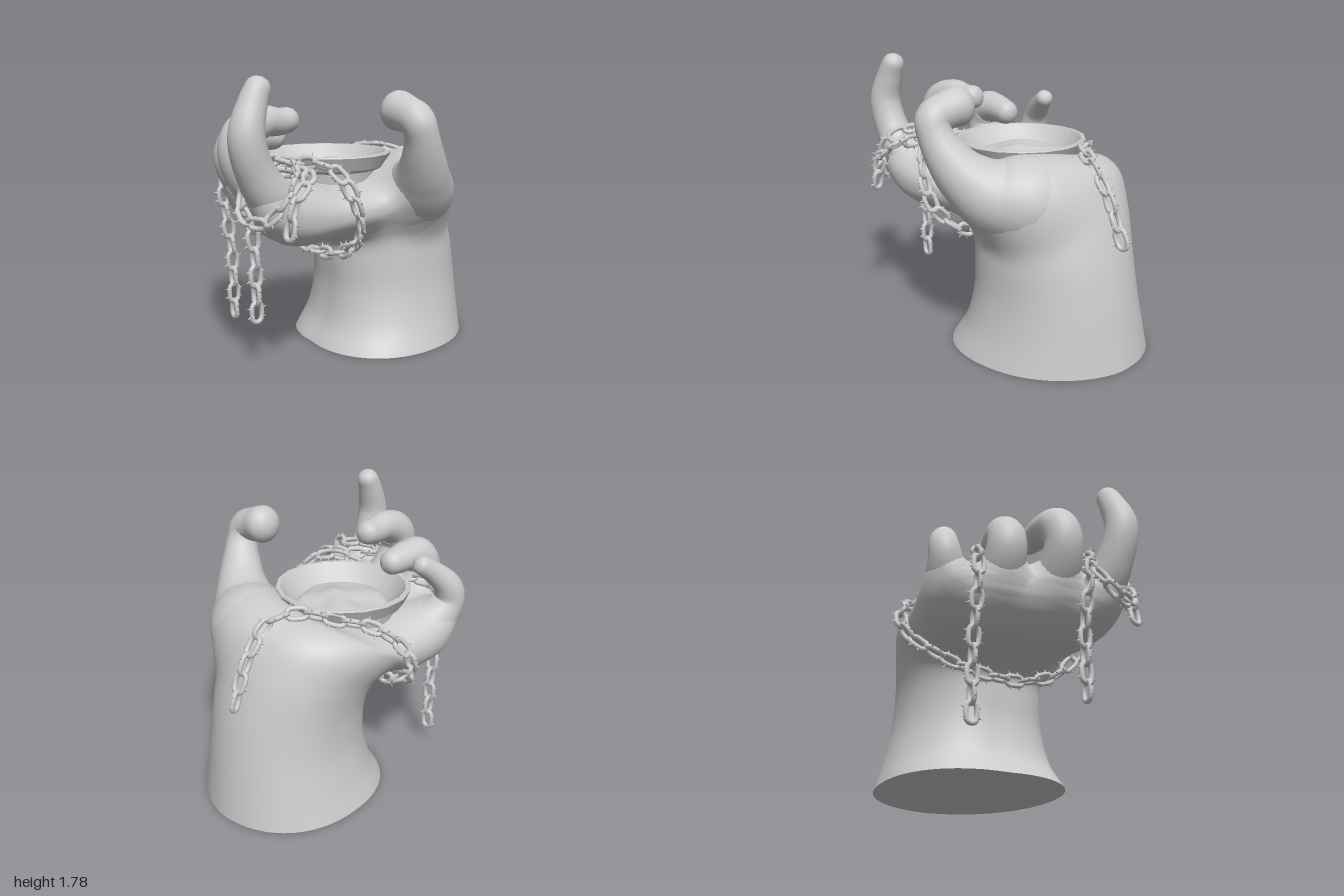
import * as THREE from 'three';
import { mergeVertices, mergeGeometries, toCreasedNormals } from 'three/addons/utils/BufferGeometryUtils.js';

const material = new THREE.MeshStandardMaterial({ color: 0xcccccc, side: THREE.DoubleSide });
const spline = (pts) => new THREE.CatmullRomCurve3(pts.map((p) => new THREE.Vector3(...p)), false, 'catmullrom', 0.5);

// Fingers and thumb as centre line points [x, y, z, radius], root to tip
const DIGITS = {
  indexFinger: [[0.24, 0.96, 0.46, 0.15], [0.32, 1.07, 0.69, 0.138], [0.35, 1.25, 0.83, 0.115],
    [0.365, 1.45, 0.89, 0.105], [0.35, 1.63, 0.84, 0.085], [0.34, 1.775, 0.77, 0.065]],
  middleFinger: [[0.02, 0.96, 0.43, 0.15], [0.03, 1.09, 0.63, 0.14], [0.02, 1.28, 0.755, 0.12],
    [0.01, 1.43, 0.72, 0.12], [0, 1.495, 0.58, 0.1], [-0.01, 1.49, 0.45, 0.085], [-0.02, 1.51, 0.315, 0.075]],
  ringFinger: [[-0.26, 0.96, 0.34, 0.15], [-0.29, 1.08, 0.52, 0.14], [-0.3, 1.24, 0.62, 0.125],
    [-0.29, 1.36, 0.58, 0.118], [-0.28, 1.38, 0.47, 0.1], [-0.27, 1.37, 0.36, 0.085], [-0.26, 1.36, 0.26, 0.07]],
  littleFinger: [[-0.48, 0.95, 0.2, 0.17], [-0.57, 1.04, 0.37, 0.145], [-0.63, 1.17, 0.46, 0.105],
    [-0.635, 1.28, 0.44, 0.09], [-0.59, 1.38, 0.35, 0.07], [-0.54, 1.475, 0.22, 0.055]],
  thumb: [[0.06, 0.98, -0.46, 0.25], [0.22, 1.01, -0.43, 0.28], [0.4, 1.06, -0.33, 0.23],
    [0.53, 1.17, -0.25, 0.17], [0.61, 1.3, -0.18, 0.13], [0.65, 1.42, -0.13, 0.105], [0.64, 1.51, -0.1, 0.108],
    [0.55, 1.545, -0.095, 0.113], [0.46, 1.565, -0.1, 0.122], [0.365, 1.58, -0.1, 0.1]],
};
const centreLine = (pts) => spline(pts.map(([x, y, z]) => [x, y, z]));
const radiusLine = (pts) => spline(pts.map((p) => [p[3], 0, 0]));

function part(name, geometry) {
  const mesh = new THREE.Mesh(geometry, material);
  mesh.name = name;
  return mesh;
}

// Weld the seams so that the shading runs smoothly all round
function smooth(geometry) {
  geometry.deleteAttribute('uv');
  geometry.deleteAttribute('normal');
  const welded = mergeVertices(geometry, 1e-4);
  welded.computeVertexNormals();
  return welded;
}

// A tapering, round-tipped tube
function digit(name, pts) {
  const rings = 64, sides = 24;
  const curve = centreLine(pts), radius = radiusLine(pts);
  const cap = pts.at(-1)[3] / curve.getLength();
  const geo = new THREE.TubeGeometry(curve, rings, 1, sides);
  const pos = geo.attributes.position, v = new THREE.Vector3();
  for (let i = 0; i <= rings; i++) {
    const u = i / rings, centre = curve.getPointAt(u);
    const k = Math.max(0, (u - 1 + cap) / cap);
    const r = radius.getPoint(curve.getUtoTmapping(u)).x * Math.sqrt(Math.max(0, 1 - k * k));
    for (let j = 0; j <= sides; j++) {
      const n = i * (sides + 1) + j;
      v.fromBufferAttribute(pos, n).sub(centre).multiplyScalar(r).add(centre);
      pos.setXYZ(n, v.x, v.y, v.z);
    }
  }
  return part(name, smooth(geo));
}

// Swell a surface along its normals into soft fillets around the digits
function blendIntoDigits(geo, k = 0.14, limit = 0.16) {
  const balls = Object.values(DIGITS).flatMap((pts) => {
    const curve = centreLine(pts), radius = radiusLine(pts);
    return Array.from({ length: 33 }, (_, i) => ({ c: curve.getPoint(i / 32), r: radius.getPoint(i / 32).x }));
  });
  const pos = geo.attributes.position, p = new THREE.Vector3(), n = new THREE.Vector3(), q = new THREE.Vector3();
  for (let i = 0; i < pos.count; i++) {
    p.fromBufferAttribute(pos, i);
    n.fromBufferAttribute(geo.attributes.normal, i);
    let t = 0;
    for (let step = 0; step < 12; step++) {
      q.copy(p).addScaledVector(n, t);
      // The farther it swells, the more it dips below the digit's skin
      const d = balls.reduce((m, b) => Math.min(m, q.distanceTo(b.c) - b.r), Infinity) + 0.3 * Math.max(0, t - 0.03);
      const h = Math.max(k - Math.abs(t - d), 0) / k;
      t = THREE.MathUtils.clamp(t - 0.7 * (Math.min(t, d) - (h * h * k) / 4), 0, limit);
    }
    q.copy(p).addScaledVector(n, t);
    pos.setXYZ(i, q.x, q.y, q.z);
  }
  geo.computeVertexNormals();
}

// Forearm bending into the palm: each section is
// [left x, back/top y, back/top z, right x, front/bottom y, front/bottom z]
function forearmAndPalm() {
  const sections = [
    [-0.63, 0, -1.0, 0.53, 0, 0.19],
    [-0.575, 0.2, -0.97, 0.47, 0.16, 0.1],
    [-0.53, 0.42, -0.935, 0.43, 0.36, 0.06],
    [-0.525, 0.68, -0.88, 0.42, 0.55, 0.06],
    [-0.56, 0.95, -0.79, 0.42, 0.66, 0.07],
    [-0.61, 1.16, -0.66, 0.44, 0.7, 0.11],
    [-0.64, 1.23, -0.47, 0.45, 0.72, 0.18],
    [-0.66, 1.17, -0.28, 0.44, 0.73, 0.27],
    [-0.67, 1.11, 0.05, 0.44, 0.75, 0.4],
    [-0.68, 1.12, 0.38, 0.45, 0.77, 0.5],
    [-0.66, 1.14, 0.52, 0.43, 0.85, 0.61],
    [-0.61, 1.12, 0.61, 0.4, 0.93, 0.66],
    [-0.54, 1.08, 0.65, 0.34, 0.98, 0.67],
    [-0.44, 1.03, 0.67, 0.26, 1.03, 0.67],
  ];
  const a = spline(sections.map((s) => s.slice(0, 3)));
  const b = spline(sections.map((s) => s.slice(3)));
  const rings = 120, sides = 90, pos = [], index = [];
  for (let i = 0; i <= rings; i++) {
    const u = i / rings, p = a.getPoint(u), q = b.getPoint(u);
    const power = 0.9 - 0.15 * THREE.MathUtils.smoothstep(u, 0.5, 0.75);
    const fade = Math.max(0, 1 - 2.2 * u);
    const round = (c) => Math.sign(c) * Math.abs(c) ** power;
    for (let j = 0; j < sides; j++) {
      const t = (j / sides) * Math.PI * 2;
      let c = round(Math.cos(t)), s = round(Math.sin(t));
      // The arm is flatter on the thumb side of its back
      const m = 1 - 0.17 * fade * Math.max(0, c) * s;
      c *= m;
      s *= m;
      const x = (p.x + q.x) / 2 + (c * (q.x - p.x)) / 2;
      const y = (p.y + q.y) / 2 + (s * (p.y - q.y)) / 2;
      const z = (p.z + q.z) / 2 + (s * (p.z - q.z)) / 2;
      // The knuckle line slants back towards the little finger
      pos.push(x, y, z + 0.28 * (x + 0.1) * THREE.MathUtils.clamp(z / 0.6, 0, 1) * (1 - fade));
      if (i < rings) {
        const n = i * sides + j, next = i * sides + ((j + 1) % sides);
        index.push(n, next, n + sides, next, next + sides, n + sides);
      }
    }
  }
  const geo = new THREE.BufferGeometry();
  geo.setAttribute('position', new THREE.Float32BufferAttribute(pos, 3));
  geo.setIndex(index);
  const skin = smooth(geo);
  blendIntoDigits(skin);

  // Flat cut at the bottom
  const outline = Array.from({ length: sides }, (_, j) => new THREE.Vector2(pos[j * 3], pos[j * 3 + 2]));
  const base = new THREE.ShapeGeometry(new THREE.Shape(outline)).rotateX(Math.PI / 2);
  const group = new THREE.Group();
  group.name = 'forearmAndPalm';
  group.add(part('palm', skin), part('forearmBase', base));
  return group;
}

// Shallow dish with a lumpy filling
function dish() {
  const profile = [[0, 1.09], [0.34, 1.09], [0.35, 1.16], [0.39, 1.18], [0.43, 1.265], [0.425, 1.275],
    [0.4, 1.275], [0.34, 1.2], [0.29, 1.15], [0, 1.15]].map(([r, y]) => new THREE.Vector2(r, y));
  const bowl = toCreasedNormals(new THREE.LatheGeometry(profile, 18), 0.5);

  const filling = new THREE.SphereGeometry(0.29, 36, 18);
  const pos = filling.attributes.position;
  for (let i = 0; i < pos.count; i++) {
    const x = pos.getX(i), y = pos.getY(i), z = pos.getZ(i);
    const lump = Math.sin(x * 17 + 1) * Math.cos(z * 15) + 0.5 * Math.sin(x * 9 - z * 23);
    const wobble = 1 + 0.03 * Math.sin(Math.atan2(z, x) * 5);
    pos.setXYZ(i, x * wobble, 1.155 + y * (0.2 + 0.06 * lump), z * wobble);
  }
  const group = new THREE.Group();
  group.name = 'dish';
  group.add(part('bowl', bowl), part('filling', smooth(filling)));
  group.position.set(-0.13, 0, 0.02);
  return group;
}

// One oval chain link with thorns on its outer sides, long axis along y
function linkGeometry() {
  const ring = new THREE.TorusGeometry(0.034, 0.0155, 8, 16);
  const pos = ring.attributes.position;
  for (let i = 0; i < pos.count; i++) {
    const y = pos.getY(i);
    pos.setY(i, y + 0.027 * THREE.MathUtils.clamp(y * 100, -1, 1));
  }
  const thorn = (tilt, y) => new THREE.ConeGeometry(0.009, 0.03, 6).translate(0, 0.057, 0).rotateZ(tilt).translate(0, y, 0);
  const thorns = [-1, 1].flatMap((s) => [thorn(s * 1.25, 0.012), thorn(s * (Math.PI - 1.25), -0.012)]);
  return mergeGeometries([ring, ...thorns]);
}

// Links threaded along a path, each turned a quarter from the last
function chain(name, pts, geometry, firstTurn) {
  const group = new THREE.Group();
  group.name = name;
  const curve = spline(pts), up = new THREE.Vector3(0, 1, 0);
  curve.arcLengthDivisions = 600;
  const count = Math.round(curve.getLength() / 0.113);
  for (let i = 0; i < count; i++) {
    const u = (i + 0.5) / count, link = part('link', geometry);
    link.position.copy(curve.getPointAt(u));
    link.quaternion.setFromUnitVectors(up, curve.getTangentAt(u));
    link.rotateY(((i + firstTurn) % 2) * Math.PI / 2);
    group.add(link);
  }
  return group;
}

export function createModel() {
  const model = new THREE.Group();
  model.name = 'chainedHand';
  model.add(forearmAndPalm(), dish());
  for (const [name, pts] of Object.entries(DIGITS)) model.add(digit(name, pts));

  const link = linkGeometry();
  model.add(
    // Hangs in front, runs behind the fingers, under the palm and over the back of the wrist
    chain('longChain', [[-0.48, 0.13, 0.54], [-0.48, 0.6, 0.55], [-0.48, 0.95, 0.6], [-0.47, 1.15, 0.59],
      [-0.42, 1.24, 0.49], [-0.15, 1.21, 0.46], [0.08, 1.22, 0.46], [0.27, 1.26, 0.42], [0.43, 1.22, 0.34],
      [0.49, 1.08, 0.26], [0.48, 0.9, 0.19], [0.41, 0.79, 0.16], [0.3, 0.7, 0.14], [0.1, 0.635, 0.13],
      [-0.1, 0.62, 0.13], [-0.4, 0.66, 0.13], [-0.6, 0.75, 0.09], [-0.7, 0.87, 0.02], [-0.69, 1.02, -0.04],
      [-0.56, 1.16, -0.16], [-0.4, 1.22, -0.32], [-0.22, 1.26, -0.47], [-0.13, 1.22, -0.63],
      [-0.12, 1.09, -0.76], [-0.12, 0.95, -0.84], [-0.13, 0.76, -0.92]], link, 0),
    // Hangs in front and winds twice around the index finger
    chain('fingerChain', [[0.16, 0.31, 0.73], [0.16, 0.75, 0.74], [0.165, 1.0, 0.79], [0.18, 1.18, 0.81],
      [0.22, 1.28, 0.7], [0.34, 1.29, 0.62], [0.48, 1.24, 0.64], [0.51, 1.1, 0.73], [0.44, 0.98, 0.82],
      [0.31, 0.98, 0.87], [0.21, 1.1, 0.84], [0.19, 1.21, 0.72], [0.33, 1.22, 0.57], [0.49, 1.21, 0.57],
      [0.54, 1.09, 0.69], [0.55, 0.89, 0.74]], link, 1)
  );
  return model;
}
